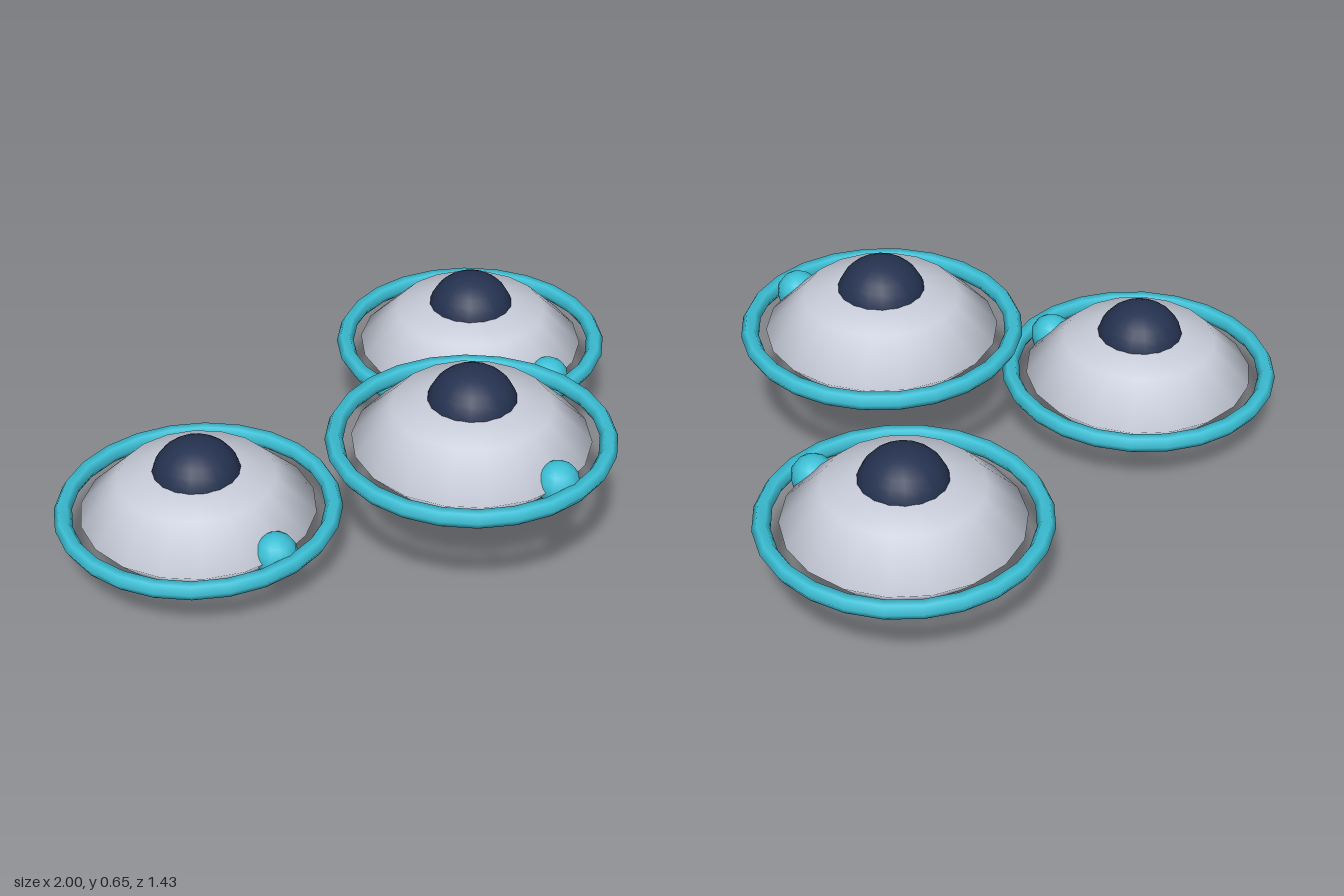
import * as THREE from 'three';

const hull = new THREE.MeshStandardMaterial({ color: 0xc9cedb });
hull.name = 'pale grey hull';
const teal = new THREE.MeshStandardMaterial({ color: 0x3cc0d6 });
teal.name = 'teal trim';
const glass = new THREE.MeshStandardMaterial({ color: 0x253250 });
glass.name = 'dark navy glass';

function addPart(parent, name, geometry, material, x = 0, y = 0, z = 0) {
  const mesh = new THREE.Mesh(geometry, material);
  mesh.name = name;
  mesh.position.set(x, y, z);
  parent.add(mesh);
  return mesh;
}

// One saucer, with its origin at the middle of the rim ring
function createSaucer() {
  const saucer = new THREE.Group();

  // Hull: lathed disc, from the underside up to the roof
  const profile = [[0, -0.105], [0.14, -0.105], [0.285, -0.07], [0.352, 0], [0.235, 0.117], [0.12, 0.142], [0, 0.142]]
    .map(([r, y]) => new THREE.Vector2(r, y));
  addPart(saucer, 'hull', new THREE.LatheGeometry(profile, 18), hull);

  // Cockpit dome
  const dome = new THREE.SphereGeometry(0.135, 18, 8, 0, Math.PI * 2, 0, Math.PI / 2);
  dome.scale(1, 0.93, 1);
  addPart(saucer, 'dome', dome, glass, 0, 0.11, 0);

  // Ring floating around the rim
  const ring = new THREE.TorusGeometry(0.402, 0.027, 6, 24);
  ring.rotateX(Math.PI / 2);
  addPart(saucer, 'rimRing', ring, teal);

  // Tapered thruster below
  addPart(saucer, 'thruster', new THREE.CylinderGeometry(0.19, 0.05, 0.075, 12), teal, 0, -0.1425, 0);

  // Round lamp at the front
  addPart(saucer, 'frontLamp', new THREE.SphereGeometry(0.066, 12, 8), teal, 0, 0, 0.33);
  return saucer;
}

export function createModel() {
  const model = new THREE.Group();
  model.name = 'saucerFormation';
  const places = [
    ['leadSaucer', 0, 0.418, 0.283],
    ['leftSaucer', 0.57, 0.277, -0.238],
    ['rightSaucer', -0.57, 0.18, -0.287],
  ];
  for (const [name, x, y, z] of places) {
    const saucer = createSaucer();
    saucer.name = name;
    saucer.position.set(x, y, z);
    model.add(saucer);
  }
  return model;
}
